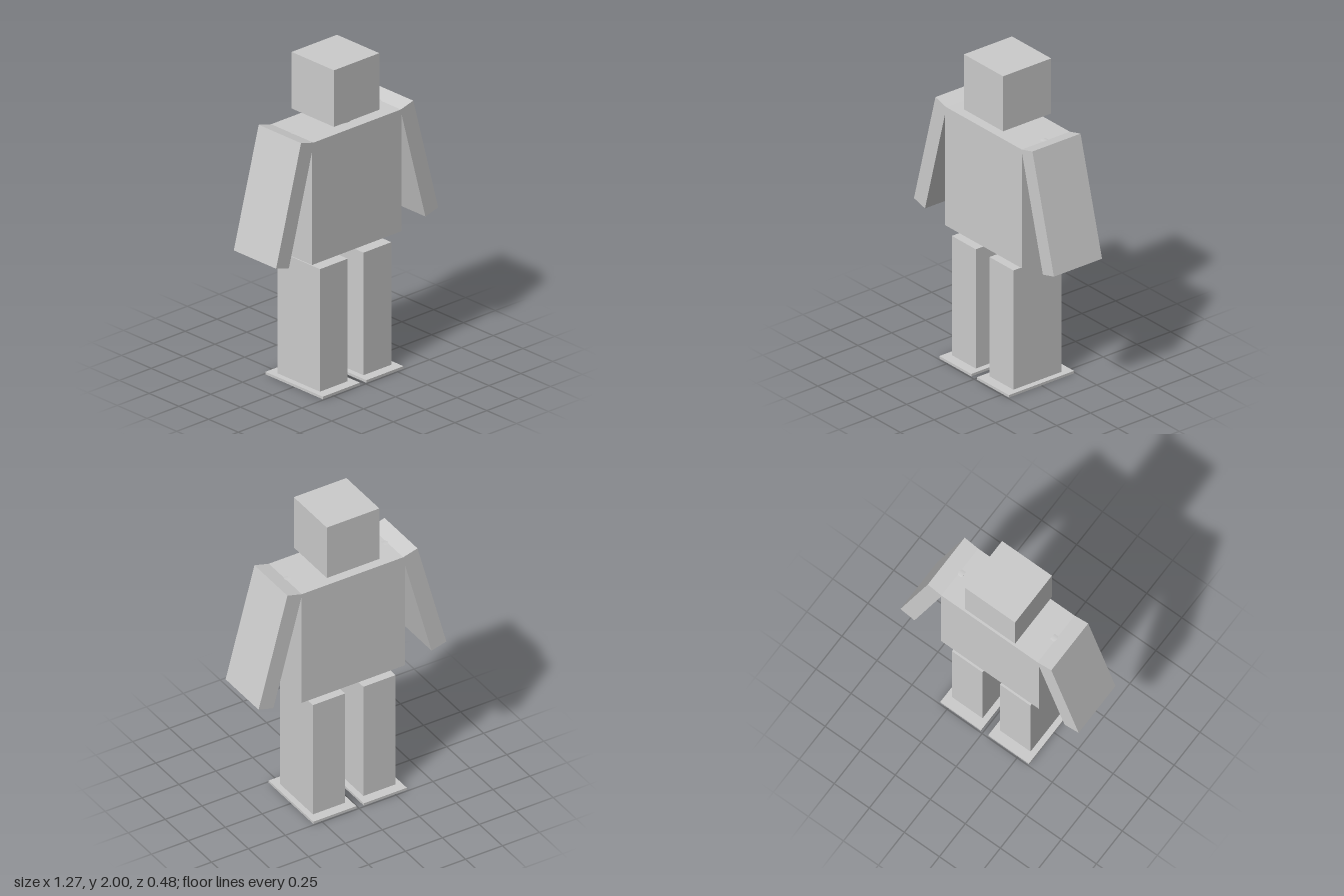
import * as THREE from 'three';

export function createModel() {
  const model = new THREE.Group();
  const material = new THREE.MeshStandardMaterial({ color: 0xcccccc });

  function add(name, geometry, x, y, z = 0, roll = 0) {
    const mesh = new THREE.Mesh(geometry, material);
    mesh.name = name;
    mesh.position.set(x, y, z);
    mesh.rotation.z = roll;
    model.add(mesh);
    return mesh;
  }

  const depth = 0.356;
  const midX = -0.004; // body sits slightly off the arm centre line

  // Head, neck and torso
  add('head', new THREE.BoxGeometry(0.356, 0.355, depth), midX, 1.8225);
  add('neck', new THREE.CylinderGeometry(0.102, 0.102, 0.09, 32), midX, 1.62);
  add('torso', new THREE.BoxGeometry(0.7, 0.765, depth), midX, 1.2125);

  for (const [side, s] of [['left', 1], ['right', -1]]) {
    // Arm slab, swung outwards by 15 degrees
    add(side + 'Arm', new THREE.BoxGeometry(0.104, 0.755, depth),
      s * 0.488, 1.243, 0, s * Math.PI / 12);

    // Shoulder peg running across into the torso
    add(side + 'Shoulder', new THREE.CylinderGeometry(0.118, 0.118, 0.1, 32),
      s * 0.366, 1.479, 0, Math.PI / 2);

    // Hip ball, leg and flat foot
    const legX = s * 0.171 - 0.012;
    add(side + 'Hip', new THREE.SphereGeometry(0.09, 32, 16), legX - 0.003, 0.84);
    add(side + 'Leg', new THREE.BoxGeometry(0.218, 0.769, depth), legX, 0.4005);
    add(side + 'Foot', new THREE.BoxGeometry(0.291, 0.016, 0.482), legX, 0.008);
  }

  return model;
}
